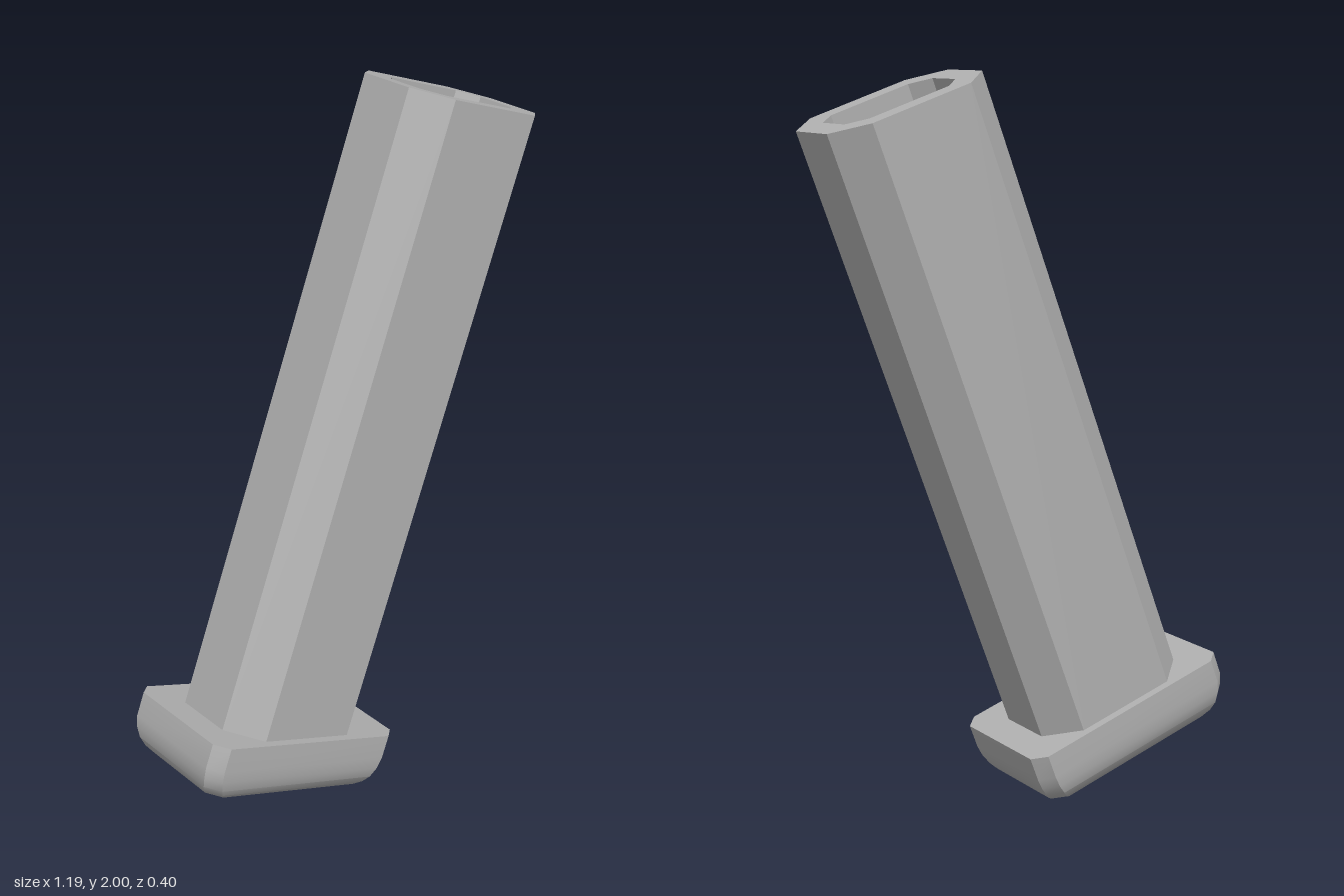
import * as THREE from 'three';
import { toCreasedNormals } from 'three/addons/utils/BufferGeometryUtils.js';

const SLOPE = -0.338; // tilt of every cross-section
const LEAN = 0.378; // sideways shift per unit of height

// Eight-sided ring on the tilted plane that passes through (x0, y0)
function ring(x0, x1, y0, halfZ, cutX, cutZ) {
  const e = halfZ - cutZ;
  return [
    [x0, -e], [x0, e], [x0 + cutX, halfZ], [x1 - cutX, halfZ],
    [x1, e], [x1, -e], [x1 - cutX, -halfZ], [x0 + cutX, -halfZ],
  ].map(([x, z]) => [x, y0 + SLOPE * (x - x0), z]);
}

// Slide a ring down along the leaning axis
const lower = (points, k) => points.map(([x, y, z]) => [x - LEAN * k, y - k, z]);

// Join rings in order, closing the first and the last
function loft(rings) {
  const pos = [];
  const tri = (a, b, c) => pos.push(...a, ...b, ...c);
  const first = rings[0], last = rings[rings.length - 1], n = first.length;
  for (let r = 0; r < rings.length - 1; r++) {
    const L = rings[r], U = rings[r + 1];
    for (let i = 0; i < n; i++) {
      const j = (i + 1) % n;
      tri(L[i], L[j], U[j]);
      tri(L[i], U[j], U[i]);
    }
  }
  for (let i = 1; i < n - 1; i++) {
    tri(first[0], first[i + 1], first[i]);
    tri(last[0], last[i], last[i + 1]);
  }
  const geo = new THREE.BufferGeometry();
  geo.setAttribute('position', new THREE.Float32BufferAttribute(pos, 3));
  return toCreasedNormals(geo, 0.65);
}

export function createModel() {
  const group = new THREE.Group();
  const grey = new THREE.MeshStandardMaterial({ color: 0xb0b0b0 });
  const add = (name, geo) => {
    const mesh = new THREE.Mesh(geo, grey);
    mesh.name = name;
    group.add(mesh);
  };

  // Leaning tube with a shallow recess in its top
  const top = ring(0.147, 0.593, 2.0, 0.174, 0.083, 0.086);
  const mouth = ring(0.21, 0.53, 2.0 + SLOPE * 0.063, 0.108, 0.047, 0.048);
  add('body', loft([lower(top, 1.69), top, mouth, lower(mouth, 0.058)]));

  // Base plate with a rounded underside: depth, left inset, right inset, side inset
  const steps = [
    [0.168, 0.109, 0.066, 0.09],
    [0.164, 0.08, 0.048, 0.062],
    [0.157, 0.058, 0.036, 0.042],
    [0.142, 0.036, 0.023, 0.024],
    [0.123, 0.02, 0.013, 0.011],
    [0.095, 0.007, 0.004, 0.003],
    [0.065, 0, 0, 0],
    [0, 0, 0, 0],
  ];
  add('basePlate', loft(steps.map(([k, a, b, c]) =>
    lower(ring(-0.57 + a, 0.045 - b, 0.358 + SLOPE * a, 0.2 - c, 0.035, 0.036), k))));

  return group;
}
